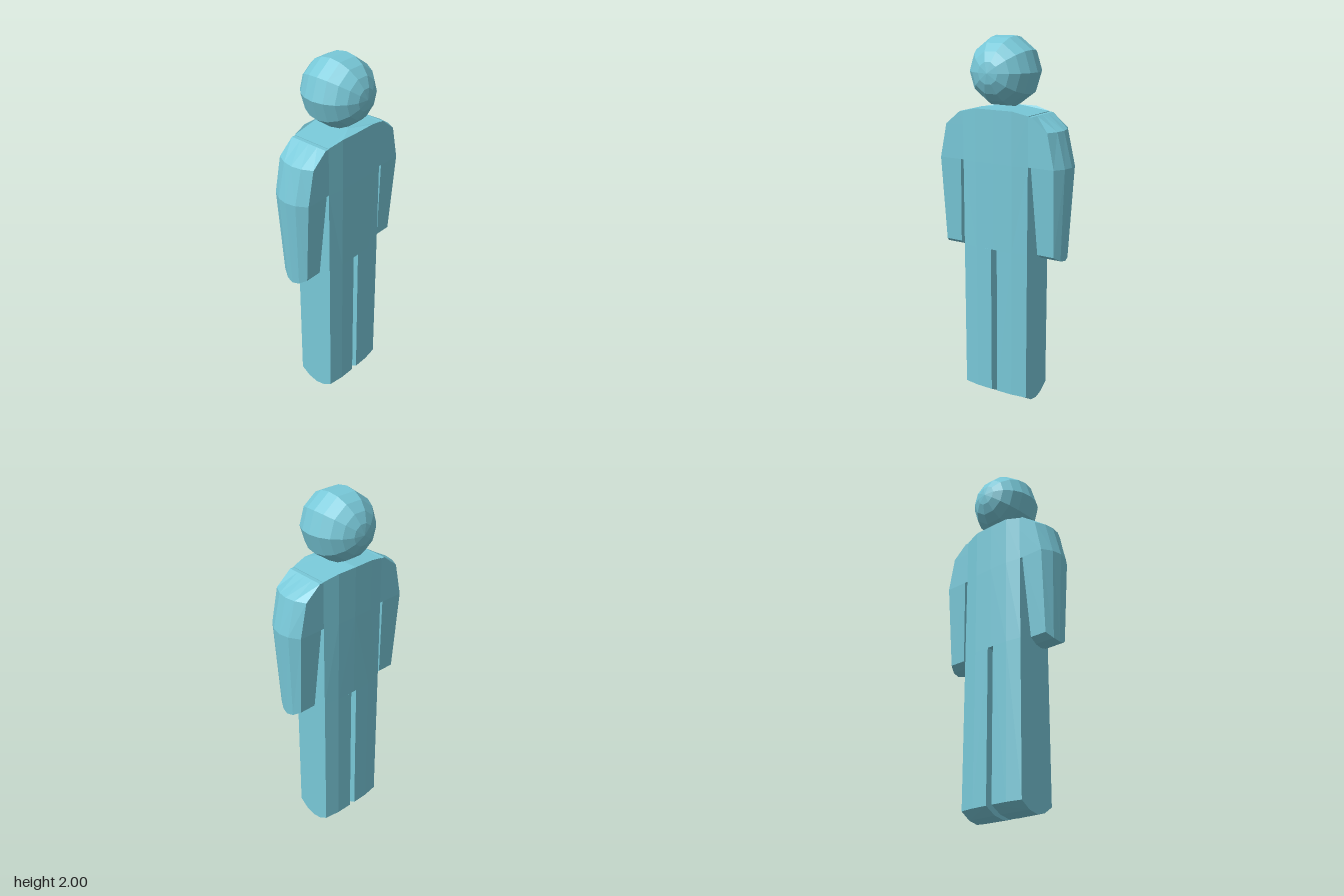
import * as THREE from 'three';

const material = new THREE.MeshStandardMaterial({ color: 0x78c8d8, flatShading: true });
const STEPS = [-1, -0.5, 0, 0.5, 1];

// Closed horizontal section. cols run from inner to outer as [x, half depth, y offset];
// bulge rounds the outer side outward, drop rounds the section downward.
function section(y, cols, { bulge = 0, drop = 0 } = {}) {
  const last = cols.length - 1;
  const point = (i, t) => {
    const [x, z, dy = 0] = cols[i];
    const round = 1 - t * t;
    return [x + (i === last ? bulge * round : 0), y + dy - drop * round, z * t];
  };
  const ring = STEPS.map(t => point(0, t));
  for (let i = 1; i < last; i++) ring.push(point(i, 1));
  for (const t of [...STEPS].reverse()) ring.push(point(last, t));
  for (let i = last - 1; i > 0; i--) ring.push(point(i, -1));
  return ring;
}

// Skins a stack of sections from bottom to top and caps both ends
function loft(name, rings, middles = 0) {
  const n = rings[0].length, index = [];
  rings.slice(1).forEach((_, r) => {
    for (let i = 0; i < n; i++) {
      const j = (i + 1) % n, a = r * n + i, b = r * n + j;
      index.push(a, b, b + n, a, b + n, a + n);
    }
  });
  // Cap strips pair inner points with the opposite outer points
  const outer = 9 + middles;
  const strips = [];
  for (let i = 0; i < 4; i++) {
    const strip = [i, i + 1];
    if (i === 3) for (let m = 0; m < middles; m++) strip.push(5 + m);
    strip.push(outer - 1 - i, outer - i);
    if (i === 0) for (let m = 0; m < middles; m++) strip.push(outer + 1 + m);
    strips.push(strip);
  }
  const top = (rings.length - 1) * n;
  for (const s of strips) {
    for (let k = 1; k < s.length - 1; k++) {
      index.push(s[0], s[k + 1], s[k]);
      index.push(top + s[0], top + s[k], top + s[k + 1]);
    }
  }
  const indexed = new THREE.BufferGeometry();
  indexed.setAttribute('position', new THREE.Float32BufferAttribute(rings.flat(2), 3));
  indexed.setIndex(index);
  const geometry = indexed.toNonIndexed();
  geometry.computeVertexNormals();
  const mesh = new THREE.Mesh(geometry, material);
  mesh.name = name;
  return mesh;
}

function createSide(name) {
  const side = new THREE.Group();
  side.name = name;

  // Half of the torso, with a gently bowed front and back
  side.add(loft('torso', [
    section(0.885, [[0, 0.127], [0.11, 0.126], [0.197, 0.113]]),
    section(1.355, [[0, 0.13], [0.11, 0.128], [0.197, 0.112]]),
    section(1.615, [[0, 0.13, 0.02], [0.11, 0.128, 0.02], [0.197, 0.112]]),
  ], 1));

  // Sloping shoulder
  side.add(loft('shoulder', [
    section(1.355, [[0.197, 0.112], [0.345, 0.112]], { bulge: 0.046 }),
    section(1.54, [[0.197, 0.112], [0.305, 0.112]], { bulge: 0.037 }),
    section(1.612, [[0.197, 0.112], [0.217, 0.112]]),
  ]));

  // Tapered arm with a rounded end
  side.add(loft('arm', [
    section(0.885, [[0.24, 0.08], [0.336, 0.08]], { bulge: 0.028, drop: 0.035 }),
    section(1.355, [[0.214, 0.112], [0.345, 0.112]], { bulge: 0.046 }),
  ]));

  // Straight leg with a rounded foot end
  const legColumns = [[0.018, 0.127], [0.11, 0.126], [0.197, 0.113]];
  side.add(loft('leg', [
    section(0.05, legColumns, { drop: 0.05 }),
    section(0.885, legColumns),
  ], 1));
  return side;
}

export function createModel() {
  const model = new THREE.Group();
  model.name = 'figure';

  const left = createSide('leftSide');
  const right = createSide('rightSide');
  right.scale.x = -1;
  model.add(left, right);

  // Floating ten-sided head with its poles front and back
  const head = new THREE.Mesh(new THREE.SphereGeometry(0.187, 10, 10).rotateX(Math.PI / 2), material);
  head.name = 'head';
  head.position.y = 1.822;
  model.add(head);
  return model;
}
